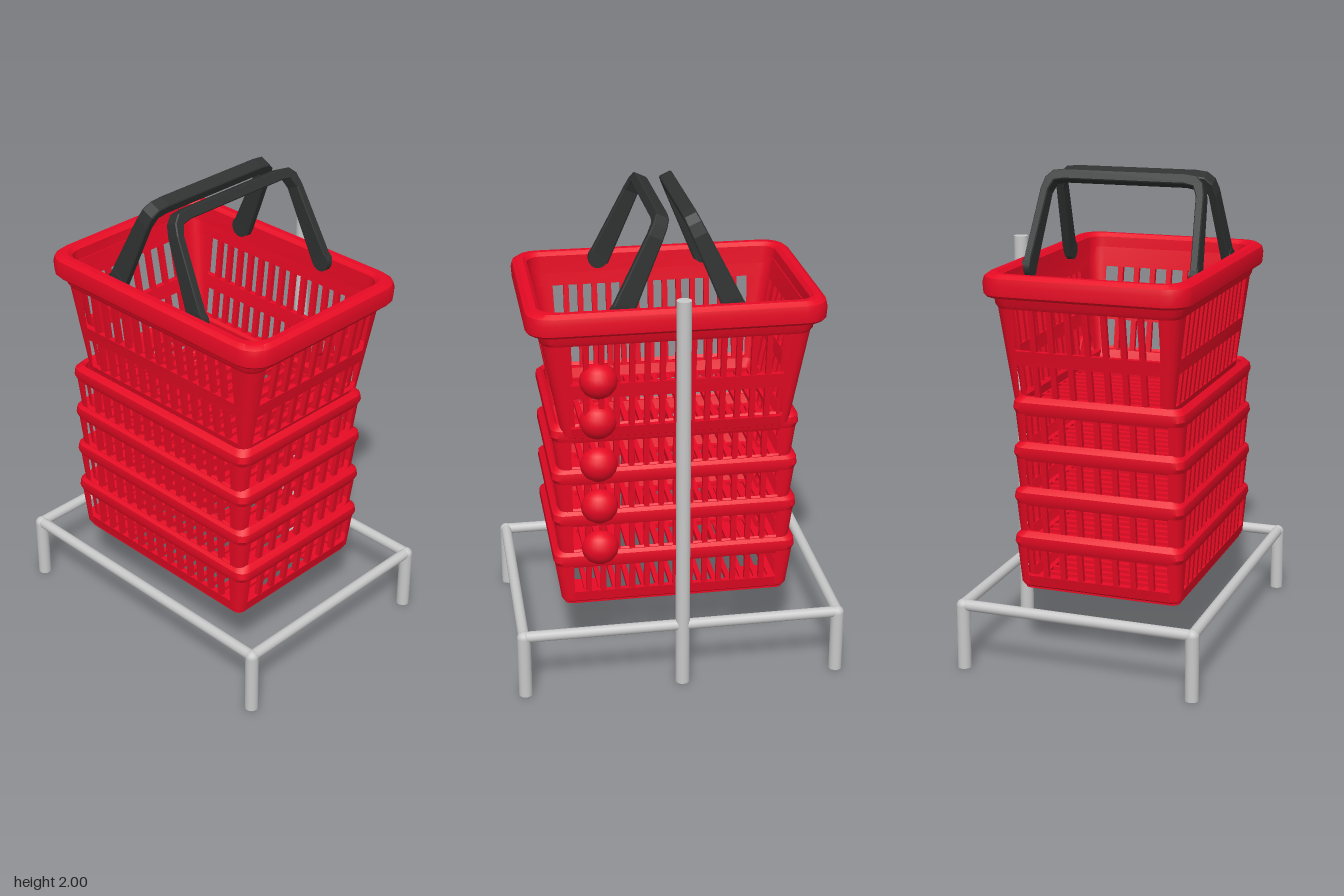
import * as THREE from 'three';
import { mergeGeometries, toCreasedNormals } from 'three/addons/utils/BufferGeometryUtils.js';

const mat = (name, color, side = THREE.FrontSide) => {
  const m = new THREE.MeshStandardMaterial({ color, side });
  m.name = name;
  return m;
};

export function createModel() {
  const red = mat('red plastic', 0xe80a24, THREE.DoubleSide);
  const black = mat('black plastic', 0x303232);
  const steel = mat('grey steel', 0xc8c8c8);
  const model = new THREE.Group();

  const add = (parent, name, geo, material, x = 0, y = 0, z = 0) => {
    const m = new THREE.Mesh(geo, material);
    m.name = name;
    m.position.set(x, y, z);
    parent.add(m);
    return m;
  };

  // Limits of the slotted wall areas; everything outside them is solid corner
  const EX = 0.43, EZ = 0.305;

  // One rounded corner seen from above, from the side wall to the front wall
  function corner(hx, hz, r) {
    const pts = [];
    for (let i = 0; i <= 4; i++) {
      const a = (i / 4) * Math.PI / 2;
      pts.push([hx - r + r * Math.cos(a), hz - r + r * Math.sin(a)]);
    }
    return pts;
  }
  function ring(hx, hz, r) {
    const c = corner(hx, hz, r), flip = (p, sx, sz) => p.map(([x, z]) => [x * sx, z * sz]);
    return [...c, ...flip(c, -1, 1).reverse(), ...flip(c, -1, -1), ...flip(c, 1, -1).reverse()];
  }

  // Joins a closed loop of paths, each { y, pts }, into one skin
  function loft(sections, closedPath) {
    const n = sections[0].pts.length, pos = [], idx = [];
    sections.forEach(s => s.pts.forEach(([x, z]) => pos.push(x, s.y, z)));
    for (let i = 0; i < sections.length; i++) {
      const a = i * n, b = ((i + 1) % sections.length) * n;
      for (let j = 0; j < (closedPath ? n : n - 1); j++) {
        const k = (j + 1) % n;
        idx.push(a + j, b + j, a + k, b + j, b + k, a + k);
      }
    }
    const g = new THREE.BufferGeometry();
    g.setAttribute('position', new THREE.Float32BufferAttribute(pos, 3));
    g.setIndex(idx);
    return toCreasedNormals(g, 0.6);
  }

  // Slotted floor
  function floorGeometry(hx, hz) {
    const s = new THREE.Shape(ring(hx, hz, 0.03).map(p => new THREE.Vector2(...p)));
    const step = 2 * EX / 14, fz = 0.29;
    for (let i = 0; i < 14; i++) {
      const x0 = -EX + i * step + 0.011, x1 = x0 + step - 0.022;
      s.holes.push(new THREE.Path([[x0, -fz], [x0, fz], [x1, fz], [x1, -fz]].map(p => new THREE.Vector2(...p))));
    }
    return new THREE.ExtrudeGeometry(s, { depth: 0.02, bevelEnabled: false }).rotateX(Math.PI / 2);
  }

  // A basket: floor, corner posts, bands between the rows of slots, and bars
  function basket({ name, y, z, hx, hz, sx, sz, top, rows, bands, knobDepth }) {
    const g = new THREE.Group();
    g.name = name;
    g.position.set(0, y, z);
    const t = 0.024;
    const dims = (h, o) => [hx + sx * h + o, hz + sz * h + o, 0.03 + 0.06 * h];
    const band = profile => loft(profile.map(([h, o]) => ({ y: h, pts: ring(...dims(h, o)) })), true);

    add(g, 'floor', floorGeometry(hx - 0.01, hz - 0.01), red, 0, 0.025, 0);
    add(g, 'baseBand', band([[0, -0.025], [0.02, -0.004], [0.065, 0], [0.065, -t], [0.02, -0.035]]), red);
    bands.forEach(p => add(g, 'wallBand', band(p), red));

    const posts = loft([[0.03, 0], [top, 0], [top, -t], [0.03, -t]].map(([h, o]) => {
      const [x, w, r] = dims(h, o);
      return { y: h, pts: [[x, EZ], ...corner(x, w, r), [EX, w]] };
    }), false);
    for (const i of [1, -1]) for (const k of [1, -1]) {
      const post = posts.clone().scale(i, 1, k);
      if (i * k < 0) { // restore the corner order after mirroring
        const p = post.attributes.position;
        const a = new THREE.Vector3(), b = new THREE.Vector3();
        for (let v = 0; v < p.count; v += 3) {
          a.fromBufferAttribute(p, v + 1);
          b.fromBufferAttribute(p, v + 2);
          p.setXYZ(v + 1, b.x, b.y, b.z);
          p.setXYZ(v + 2, a.x, a.y, a.z);
        }
      }
      add(g, 'cornerPost', toCreasedNormals(post, 0.6), red);
      // Foot pads under the floor
      add(g, 'footPad', new THREE.BoxGeometry(0.165, 0.012, 0.145), red, i * 0.362, 0.006, k * 0.215);
    }

    const bars = [];
    for (const [h0, h1] of rows) {
      const m = (h0 + h1) / 2, len = h1 - h0 + 0.02;
      const wall = (count, reach, half, slope, turn) => {
        for (let i = 1; i < count; i++) {
          const b = new THREE.BoxGeometry(0.023, len, 0.02).rotateX(Math.atan(slope));
          b.translate(-reach + (2 * reach * i) / count, m, half + slope * m - t / 2);
          bars.push(b, b.clone().rotateY(Math.PI));
          if (turn) bars.slice(-2).forEach(q => q.rotateY(Math.PI / 2));
        }
      };
      wall(14, EX, hz, sz, false);
      wall(8, EZ, hx, sx, true);
    }
    add(g, 'wallBars', mergeGeometries(bars), red);

    // Half-round knob on the outside of the back wall
    const knob = new THREE.SphereGeometry(1, 12, 8, Math.PI, Math.PI).scale(0.078, 0.075, knobDepth);
    add(g, 'backKnob', knob, red, 0.32, 0.275, -(hz + sz * 0.275) + 0.012);
    model.add(g);
    return g;
  }

  // Four nested lower baskets
  for (let i = 0; i < 4; i++) {
    basket({
      name: 'lowerBasket', y: 0.3 + i * 0.19, z: 0.033, hx: 0.478, hz: 0.345, sx: 0.14, sz: 0.07,
      top: 0.235, rows: [[0.06, 0.19]], knobDepth: 0.068,
      bands: [[[0.185, -0.002], [0.212, 0.006], [0.24, 0], [0.262, -0.022], [0.25, -0.032], [0.19, -0.026]]],
    });
  }

  // Top basket with its rim
  const topBasket = basket({
    name: 'topBasket', y: 1.06, z: 0, hx: 0.462, hz: 0.335, sx: 0.18, sz: 0.11,
    top: 0.52, rows: [[0.06, 0.2], [0.26, 0.44]], knobDepth: 0.075,
    bands: [
      [[0.2, 0], [0.26, 0], [0.26, -0.024], [0.2, -0.024]],
      [[0.435, 0], [0.45, 0.006], [0.52, 0.006], [0.52, -0.024], [0.435, -0.024]],
    ],
  });
  const rimProfile = [[1.545, -0.012], [1.555, -0.003], [1.6, 0], [1.625, -0.006], [1.64, -0.025],
    [1.64, -0.05], [1.625, -0.066], [1.55, -0.072], [1.55, -0.045]];
  add(topBasket, 'rim', loft(rimProfile.map(([y, o]) =>
    ({ y: y - 1.06, pts: ring(0.605 + o, 0.435 + o, 0.1 + o / 2) })), true), red);

  // Two folding handles leaning toward each other, broader at the feet
  const half = [[0.375, 0], [0.352, 0.34], [0.34, 0.39], [0.31, 0.42], [0.26, 0.427]];
  const inner = [[0.26, 0.383], [0.3, 0.375], [0.318, 0.335], [0.343, 0]];
  const side = [...half].reverse().concat([...inner].reverse());
  const outline = [...side, ...side.map(([u, v]) => [-u, v]).reverse()];
  const handleGeo = new THREE.ExtrudeGeometry(
    new THREE.Shape(outline.map(p => new THREE.Vector2(...p))),
    { depth: 0.055, bevelEnabled: true, bevelThickness: 0.005, bevelSize: 0.004, bevelOffset: -0.004, bevelSegments: 1 },
  ).translate(0, 0, -0.0275);
  const hp = handleGeo.attributes.position;
  for (let i = 0; i < hp.count; i++) hp.setZ(i, hp.getZ(i) * (1.4 - 1.25 * hp.getY(i)));
  handleGeo.computeVertexNormals();
  for (const s of [1, -1]) {
    const handle = new THREE.Group();
    handle.name = s > 0 ? 'leftHandle' : 'rightHandle';
    const basis = new THREE.Matrix4().makeBasis(
      new THREE.Vector3(0, 0, 1), new THREE.Vector3(-s * 0.42, 0.9075, 0), new THREE.Vector3(-0.9075, -s * 0.42, 0));
    add(handle, 'handleBow', handleGeo.clone().applyMatrix4(basis), black);
    for (const k of [1, -1]) {
      add(handle, 'handlePivot', new THREE.CylinderGeometry(0.043, 0.043, 0.034, 16).rotateX(Math.PI / 2), black, 0, 0.01, k * 0.358);
    }
    handle.position.set(s * 0.23, 1.602, 0);
    model.add(handle);
  }

  // Tubular stand
  const stand = new THREE.Group();
  stand.name = 'stand';
  model.add(stand);
  const tube = (r, len) => new THREE.CylinderGeometry(r, r, len, 16);
  for (const s of [1, -1]) {
    add(stand, 'longRail', tube(0.023, 1.33).rotateZ(Math.PI / 2), steel, 0, 0.273, s * 0.492);
    add(stand, 'shortRail', tube(0.023, 0.98).rotateX(Math.PI / 2), steel, s * 0.663, 0.273, 0);
    for (const k of [1, -1]) {
      add(stand, 'leg', tube(0.028, 0.27), steel, s * 0.663, 0.135, k * 0.492);
      add(stand, 'railJoint', new THREE.SphereGeometry(0.028, 16, 10), steel, s * 0.663, 0.27, k * 0.492);
    }
  }
  add(stand, 'backPole', tube(0.03, 1.7), steel, 0, 0.85, -0.492);

  return model;
}
